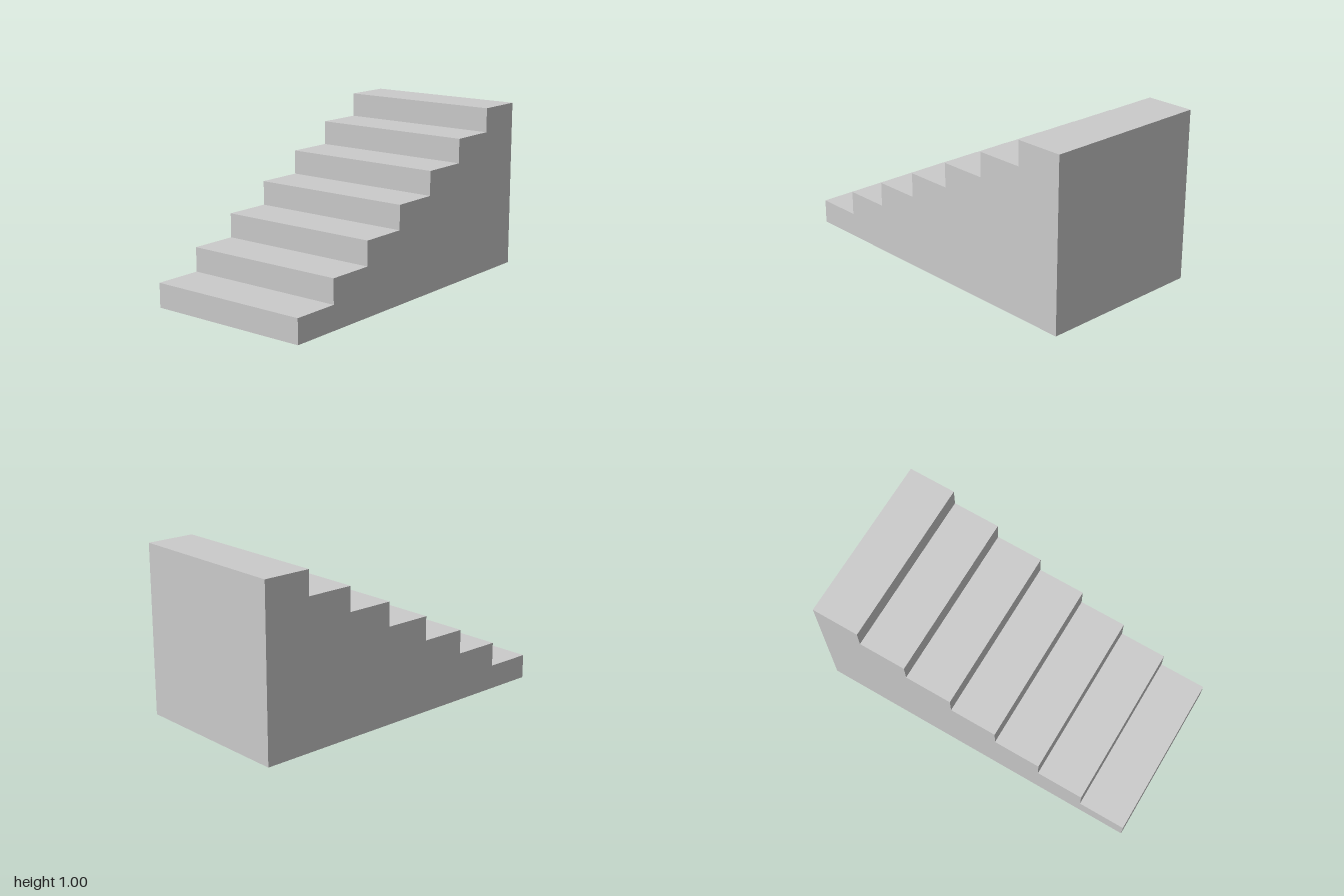
import * as THREE from 'three';

const STEPS = 7, WIDTH = 1, HEIGHT = 1, LENGTH = 2;

export function createModel() {
  const group = new THREE.Group();
  group.name = 'staircase';

  // Side profile: horizontal axis becomes z, steps climb from front to back
  const rise = HEIGHT / STEPS, run = LENGTH / STEPS;
  const profile = new THREE.Shape();
  profile.moveTo(-LENGTH / 2, 0);
  profile.lineTo(LENGTH / 2, 0);
  for (let i = 0; i < STEPS; i++) {
    const z = LENGTH / 2 - i * run, y = (i + 1) * rise;
    profile.lineTo(z, y); // riser
    profile.lineTo(z - run, y); // tread
  }
  profile.closePath();

  // Solid flight of steps, extruded across the width
  const geometry = new THREE.ExtrudeGeometry(profile, { depth: WIDTH, bevelEnabled: false });
  geometry.rotateY(-Math.PI / 2).translate(WIDTH / 2, 0, 0);
  const steps = new THREE.Mesh(
    geometry,
    new THREE.MeshStandardMaterial({ color: 0xcccccc, flatShading: true })
  );
  steps.name = 'steps';
  group.add(steps);

  return group;
}
